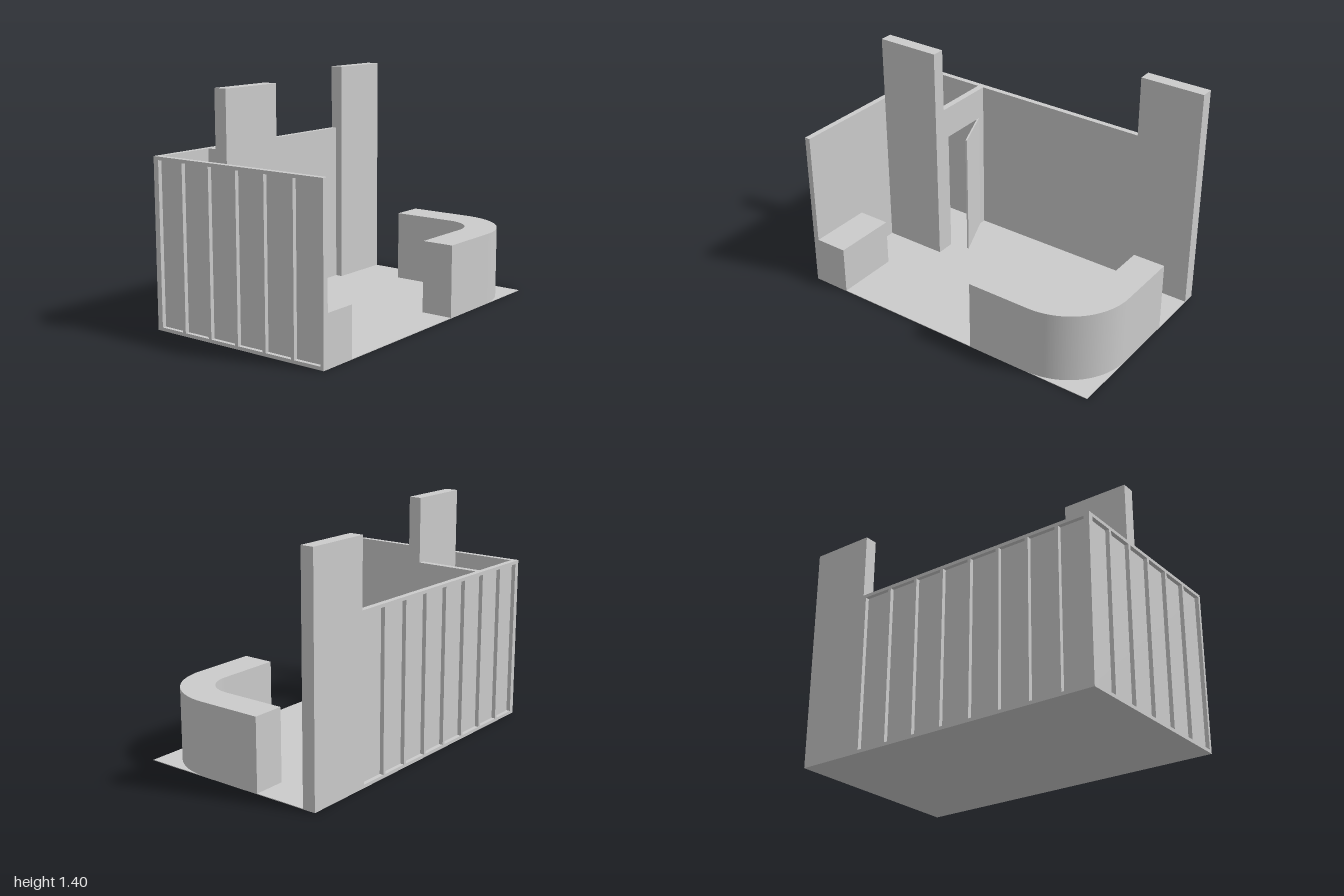
import * as THREE from 'three';

const material = new THREE.MeshStandardMaterial({ color: 0xcccccc });
const FLOOR = 0.004;

// Box given by its minimum and maximum corners
function block(name, [x0, y0, z0], [x1, y1, z1]) {
  const mesh = new THREE.Mesh(new THREE.BoxGeometry(x1 - x0, y1 - y0, z1 - z0), material);
  mesh.position.set((x0 + x1) / 2, (y0 + y1) / 2, (z0 + z1) / 2);
  mesh.name = name;
  return mesh;
}

// Framed wall along +x: smooth panel on the +z side, studs and rails on the back (z = 0)
function framedWall(name, length, bays) {
  const depth = 0.035, panel = 0.01, stud = 0.02, rail = 0.02;
  const back = depth - panel;
  const wall = new THREE.Group();
  wall.name = name;
  wall.add(
    block('wallPanel', [0, FLOOR, back], [length, 1, depth]),
    block('bottomRail', [0, FLOOR, 0], [length, rail, back]),
    block('topRail', [0, 1 - rail, 0], [length, 1, back])
  );
  for (let i = 0; i <= bays; i++) {
    const x = (length - stud) * i / bays;
    wall.add(block('stud', [x, rail, 0], [x + stud, 1 - rail, back]));
  }
  return wall;
}

// Counter with a rounded corner, extruded upward from its plan
function counter() {
  const plan = new THREE.Shape();
  plan.moveTo(0.2, -0.6);
  plan.lineTo(0.6, -0.6);
  plan.absarc(0.6, -0.2, 0.4, -Math.PI / 2, 0, false);
  plan.lineTo(1, 0.2);
  plan.lineTo(0.8, 0.2);
  plan.lineTo(0.8, -0.2);
  plan.absarc(0.6, -0.2, 0.2, 0, -Math.PI / 2, true);
  plan.lineTo(0.2, -0.4);
  plan.closePath();
  const geometry = new THREE.ExtrudeGeometry(plan, {
    depth: 0.44 - FLOOR, bevelEnabled: false, curveSegments: 32
  });
  geometry.rotateX(-Math.PI / 2);
  const mesh = new THREE.Mesh(geometry, material);
  mesh.position.y = FLOOR;
  mesh.name = 'counter';
  return mesh;
}

export function createModel() {
  const model = new THREE.Group();
  model.name = 'exhibitionBooth';

  model.add(block('floor', [-1, 0, -0.6], [1, FLOOR, 0.6]));

  // Outer walls
  const backWall = framedWall('backWall', 1.6, 8);
  backWall.position.set(-1, 0, -0.6);
  const sideWall = framedWall('sideWall', 1.2, 6);
  sideWall.rotation.y = Math.PI / 2;
  sideWall.position.set(-1, 0, 0.6);
  model.add(backWall, sideWall);

  // Tall panels
  model.add(
    block('cornerTower', [0.6, FLOOR, -0.6], [1, 1.4, -0.52]),
    block('closetTower', [-0.965, FLOOR, -0.16], [-0.56, 1.4, -0.08])
  );

  // Closet partition with a doorway
  const partition = new THREE.Group();
  partition.name = 'closetPartition';
  partition.add(
    block('backJamb', [-0.6, FLOOR, -0.565], [-0.56, 0.8, -0.52]),
    block('frontJamb', [-0.6, FLOOR, -0.2], [-0.56, 0.8, -0.16]),
    block('doorHeader', [-0.6, 0.8, -0.565], [-0.56, 1, -0.16])
  );
  model.add(partition);

  // Door standing ajar, hinged on the back jamb
  const door = new THREE.Group();
  door.name = 'door';
  door.add(block('doorLeaf', [-0.01, FLOOR, 0], [0, 0.8, 0.32]));
  door.position.set(-0.56, 0, -0.52);
  door.rotation.y = THREE.MathUtils.degToRad(23);
  model.add(door);

  // Furniture
  model.add(block('bench', [-0.965, FLOOR, 0.2], [-0.76, 0.3, 0.6]));
  model.add(counter());

  return model;
}
